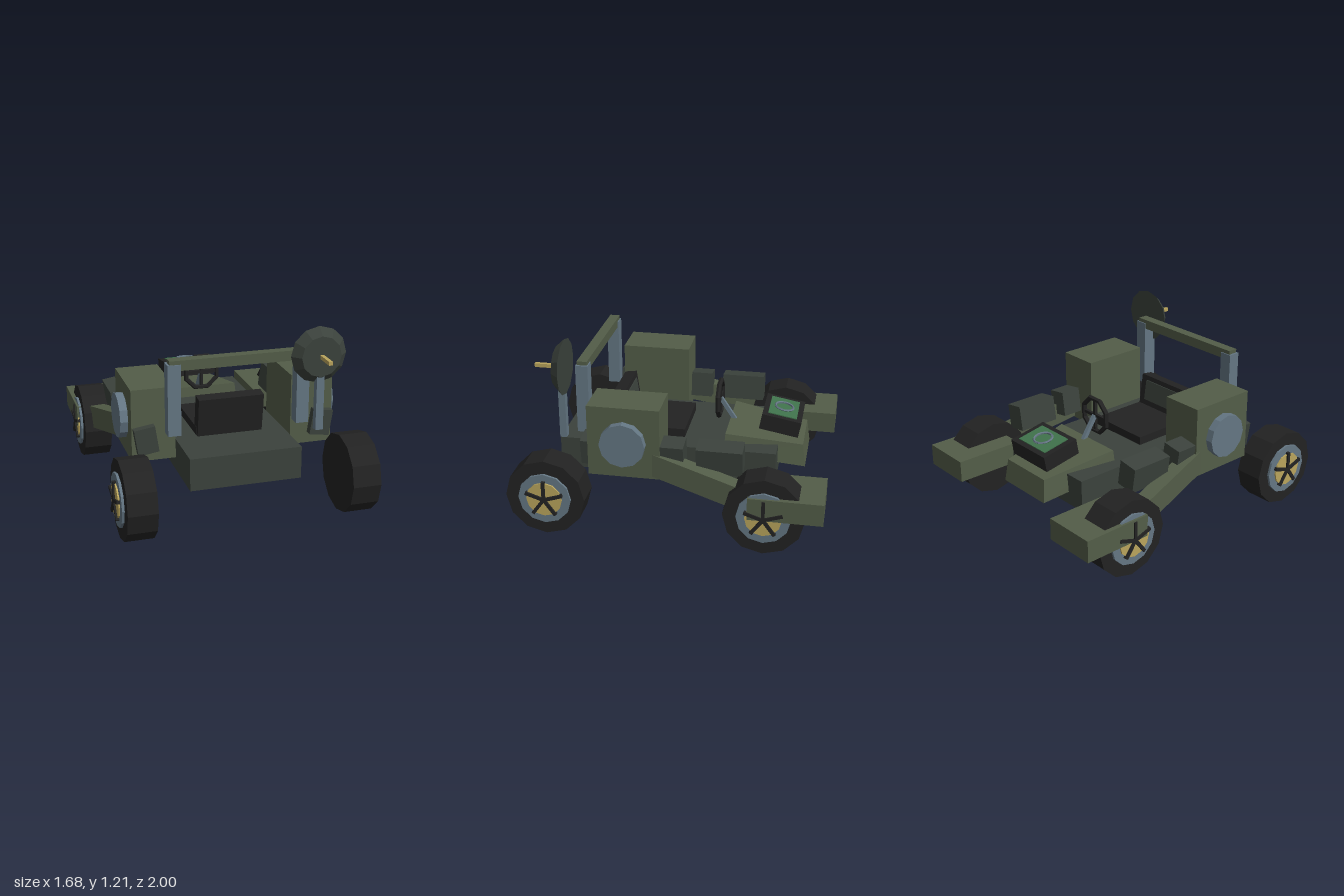
import * as THREE from 'three';

const mat = (name, color) => new THREE.MeshStandardMaterial({ name, color, flatShading: true });

export function createModel() {
  const green = mat('olive green', 0x535d48);
  const dark = mat('dark green grey', 0x3b423c);
  const black = mat('rubber black', 0x222222);
  const steel = mat('blue steel', 0x647683);
  const gold = mat('brass', 0xb9a45c);
  const glass = mat('screen green', 0x40734c);

  const model = new THREE.Group();
  model.name = 'buggy';

  const add = (name, geo, material, x, y, z, parent = model) => {
    const m = new THREE.Mesh(geo, material);
    m.name = name;
    m.position.set(x, y, z);
    parent.add(m);
    return m;
  };
  // Box given by its min/max extents
  const box = (name, material, [x0, x1], [y0, y1], [z0, z1], parent = model) =>
    add(name, new THREE.BoxGeometry(x1 - x0, y1 - y0, z1 - z0), material,
      (x0 + x1) / 2, (y0 + y1) / 2, (z0 + z1) / 2, parent);
  // Disc with its axis along x, from x0 to x1
  const disc = (name, material, r, x0, x1, y, z, parent = model) => {
    const geo = new THREE.CylinderGeometry(r, r, x1 - x0, 12).rotateZ(Math.PI / 2);
    return add(name, geo, material, (x0 + x1) / 2, y, z, parent);
  };
  // Bar of rectangular section between two points
  const bar = (name, material, a, b, w, h, parent = model) => {
    const from = new THREE.Vector3(...a), to = new THREE.Vector3(...b);
    const m = add(name, new THREE.BoxGeometry(w, h, from.distanceTo(to)), material, 0, 0, 0, parent);
    m.position.copy(from).lerp(to, 0.5);
    m.quaternion.setFromEuler(new THREE.Euler(
      Math.asin((from.y - to.y) / from.distanceTo(to)), Math.atan2(to.x - from.x, to.z - from.z), 0, 'YXZ'));
    return m;
  };

  // Chassis
  box('chassis', dark, [-0.36, 0.36], [0.26, 0.47], [-0.66, 0.76]);

  // Tapered nose: move the corners of a box
  const noseGeo = new THREE.BoxGeometry(2, 2, 2);
  const p = noseGeo.attributes.position;
  for (let i = 0; i < p.count; i++) {
    const top = p.getY(i) > 0, near = p.getZ(i) > 0;
    p.setXYZ(i,
      Math.sign(p.getX(i)) * ((near ? 0.28 : 0.205) - (top ? 0.015 : 0)),
      near ? (top ? 0.54 : 0.4) : (top ? 0.47 : 0.32),
      near ? -0.31 - (top ? 0.01 : 0) : -0.84 + (top ? 0.02 : 0));
  }
  add('nose', noseGeo, green, 0, 0, 0);

  // Wheels, side pods, arms, fenders and side boxes
  const wheel = (side, z) => {
    const g = new THREE.Group();
    g.name = 'wheel';
    g.position.set(side * 0.615, 0.258, z);
    if (side < 0) g.rotation.y = Math.PI;
    model.add(g);
    disc('tyre', black, 0.255, 0, 0.185, 0, 0, g);
    disc('rim', steel, 0.17, 0.18, 0.201, 0, 0, g);
    disc('hubPlate', gold, 0.115, 0.19, 0.211, 0, 0, g);
    for (let i = 0; i < 5; i++) {
      const a = i * Math.PI * 2 / 5, r = 0.06;
      const s = add('spoke', new THREE.BoxGeometry(0.03, 0.13, 0.022), black,
        0.208, Math.cos(a) * r, Math.sin(a) * r, g);
      s.rotation.x = a;
    }
  };
  for (const side of [1, -1]) {
    const sx = (a, b) => side > 0 ? [a, b] : [-b, -a];
    wheel(side, 0.745);
    wheel(side, -0.635);
    box('rearFender', green, sx(0.48, 0.83), [0.25, 0.395], [-1, -0.535]);
    box('sidePod', green, sx(0.38, 0.66), [0.38, 0.85], [0.035, 0.495]);
    disc('podCap', steel, 0.145, ...sx(0.64, 0.71), 0.615, 0.265);
    bar('suspensionArm', green, [side * 0.58, 0.515, 0.25], [side * 0.725, 0.32, -0.58], 0.1, 0.15);
    for (const [z0, z1] of [[-0.11, 0.545], [-0.48, -0.19]]) {
      const b = box('sideBox', dark, sx(0.508, 0.642), [0.443, 0.613], [z0, z1]);
      b.rotation.z = -side * 0.15;
    }
    box('rollBarPost', steel, sx(0.373, 0.456), [0.57, 1.025], [0.533, 0.613]);
  }
  box('rollBarBeam', green, [-0.442, 0.442], [0.985, 1.05], [0.54, 0.606]);

  // Dish on its post
  box('dishPost', steel, [0.465, 0.515], [0.55, 1.03], [0.67, 0.714]);
  const dish = add('dish', new THREE.CylinderGeometry(0.13, 0.182, 0.055, 12), dark, 0.49, 1.03, 0.693);
  dish.rotation.x = Math.PI / 2;
  box('dishRod', gold, [0.478, 0.502], [1.018, 1.042], [0.7, 0.86]);

  // Seat
  box('seatCushion', black, [-0.217, 0.217], [0.46, 0.525], [-0.045, 0.4]);
  const back = new THREE.Group();
  back.name = 'seatBack';
  back.position.set(0, 0.47, 0.37);
  back.rotation.x = 0.14;
  model.add(back);
  box('backrest', black, [-0.215, 0.215], [-0.02, 0.262], [-0.035, 0.045], back);
  box('backrestPanel', dark, [-0.165, 0.165], [0.09, 0.23], [-0.043, -0.034], back);

  // Steering wheel: octagonal ring, cross bars and column
  const steering = new THREE.Group();
  steering.name = 'steeringWheel';
  steering.position.set(0, 0.675, -0.245);
  model.add(steering);
  const ring = add('steeringRing', new THREE.TorusGeometry(0.119, 0.017, 6, 8), black, 0, 0, 0, steering);
  ring.rotation.z = Math.PI / 8;
  box('crossBar', black, [-0.11, 0.11], [-0.01, 0.01], [-0.01, 0.01], steering);
  box('uprightBar', black, [-0.01, 0.01], [-0.11, 0.11], [-0.01, 0.01], steering);
  bar('steeringColumn', steel, [0, 0.675, -0.25], [0, 0.51, -0.36], 0.026, 0.026);

  // Tilted console with screen and ring
  const console_ = new THREE.Group();
  console_.name = 'console';
  console_.position.set(0, 0.582, -0.664);
  console_.rotation.x = -0.18;
  model.add(console_);
  box('consoleBody', black, [-0.172, 0.172], [-0.053, 0.053], [-0.13, 0.13], console_);
  box('screen', glass, [-0.133, 0.133], [0.05, 0.059], [-0.095, 0.095], console_);
  const dial = add('screenRing', new THREE.TorusGeometry(0.06, 0.008, 5, 16), steel, 0, 0.064, 0, console_);
  dial.rotation.x = Math.PI / 2;

  return model;
}
